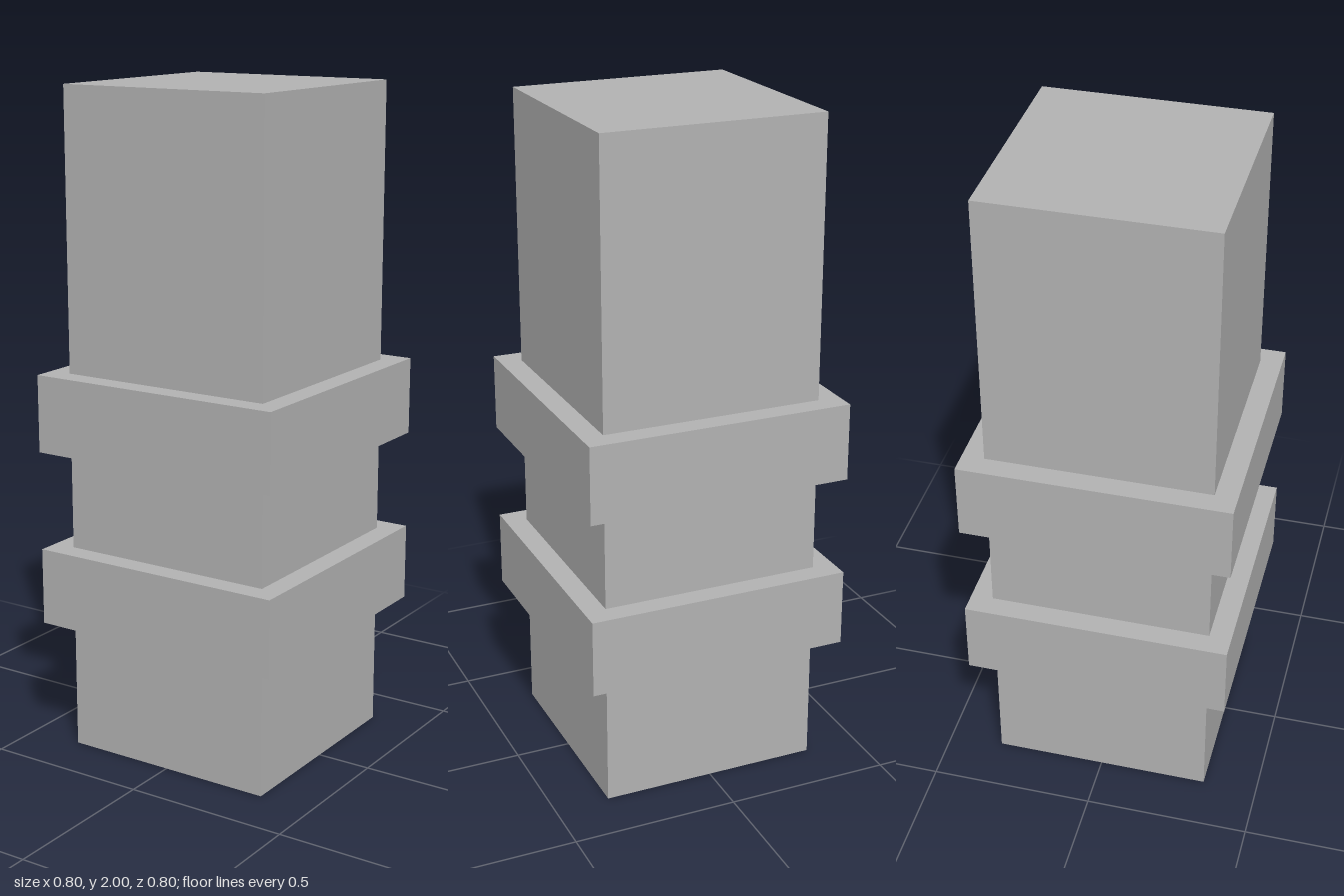
import * as THREE from 'three';

export function createModel() {
  const group = new THREE.Group();
  const grey = new THREE.MeshStandardMaterial({ color: 0xb2b2b2 });
  grey.name = 'grey';

  // Square block standing on height "bottom"
  function addBlock(name, width, height, bottom) {
    const mesh = new THREE.Mesh(new THREE.BoxGeometry(width, height, width), grey);
    mesh.name = name;
    mesh.position.y = bottom + height / 2;
    group.add(mesh);
  }

  // Full-height post
  addBlock('post', 0.6667, 2, 0);

  // Two square bands around the post
  addBlock('lowerBand', 0.8, 0.2333, 0.4);
  addBlock('upperBand', 0.8, 0.2333, 0.9333);

  return group;
}
